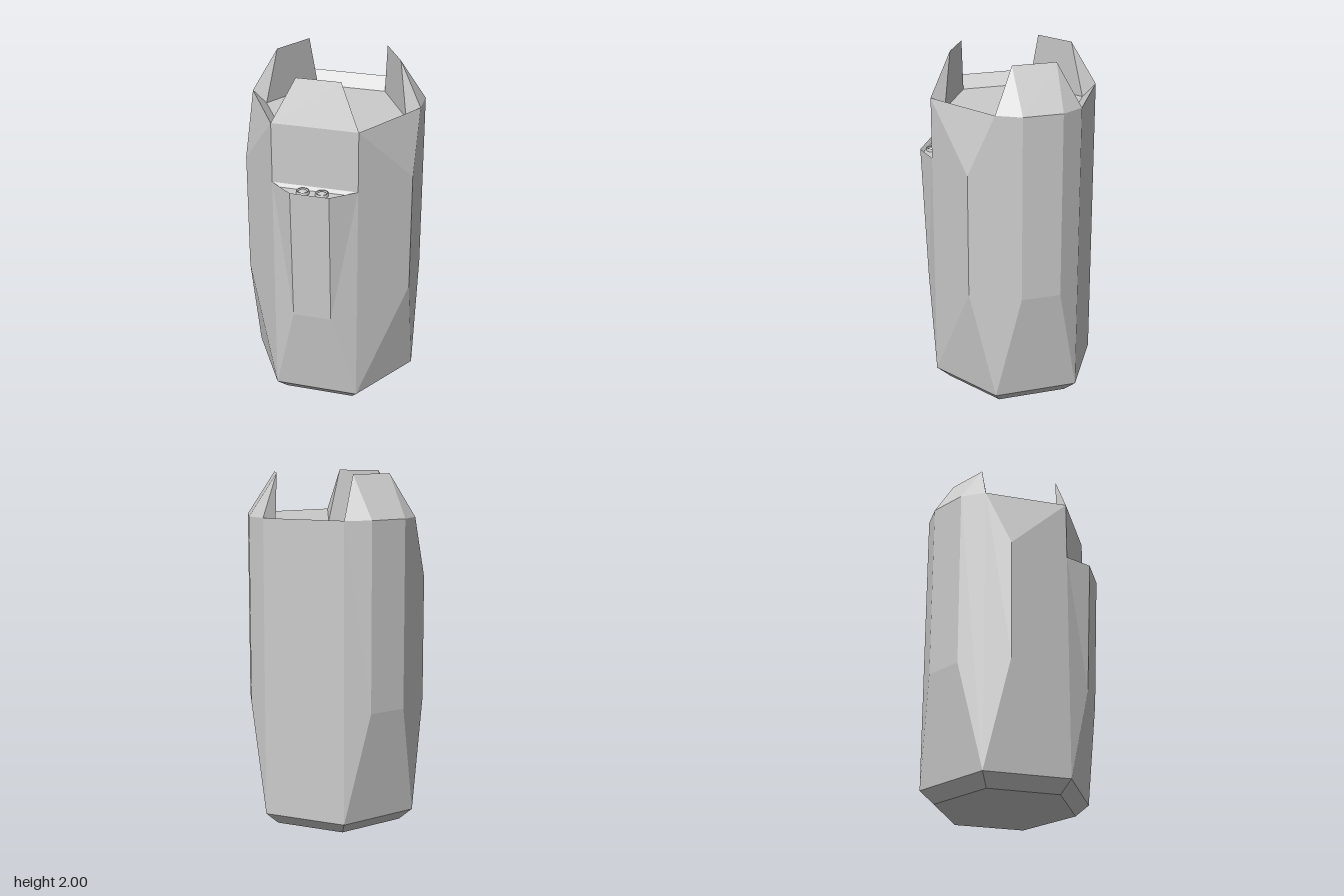
import * as THREE from 'three';

const S = 0.2435, D = 0.4217;        // hexagon: half side and distance of side from axis
const SI = 0.2035, DI = 0.3524;      // smaller hexagon of foot and recessed floor
const ZC = -0.054;                   // axis position
const FOOT = 0.07, FLOOR = 1.69, RIM = 1.76, TOP = 2;
const LOW = 0.7, LEDGE = 1.41;

const material = () => new THREE.MeshStandardMaterial({ color: 0xcccccc, flatShading: true, side: THREE.DoubleSide });

// Flat-faced mesh from polygons of [along side, height, distance from axis], turned to one side
function facets(name, polygons, degrees = 0) {
  const pos = [];
  for (const p of polygons)
    for (let i = 1; i < p.length - 1; i++) pos.push(...p[0], ...p[i], ...p[i + 1]);
  const g = new THREE.BufferGeometry();
  g.setAttribute('position', new THREE.Float32BufferAttribute(pos, 3));
  g.rotateY(THREE.MathUtils.degToRad(degrees));
  g.translate(0, 0, ZC);
  g.computeVertexNormals();
  const mesh = new THREE.Mesh(g, material());
  mesh.name = name;
  return mesh;
}

// Polygons plus their mirror images across the middle of the side
const mirrored = (polys) => [...polys, ...polys.map((p) => p.map(([t, y, d]) => [-t, y, d]).reverse())];

// Corner points shared by every side
const F = (y) => [S, y, D], G = (y) => [-S, y, D];
const inner = [SI, FLOOR, DI], innerL = [-SI, FLOOR, DI];
const tip = [0.125, TOP, 0.339], tipL = [-0.125, TOP, 0.339];

function frontSide() {
  const a = [0.11, 0.62, 0.499], b = [0.11, LEDGE, 0.53];
  const aL = [-0.11, 0.62, 0.499], bL = [-0.11, LEDGE, 0.53];
  // recessed ledge inside a thin lip
  const c = [0.205, 1.39, 0.434], e = [0.105, 1.39, 0.514];
  const cL = [-0.205, 1.39, 0.434], eL = [-0.105, 1.39, 0.514];
  return [
    facets('frontPanel', [
      [G(FOOT), F(FOOT), a, aL], [aL, a, b, bL],
      ...mirrored([[F(FOOT), F(LEDGE), a], [a, F(LEDGE), b]]),
      [G(LEDGE), F(LEDGE), F(RIM), G(RIM)],
    ]),
    facets('buttonLedge', [
      [cL, eL, e, c], [bL, b, e, eL], [F(LEDGE), G(LEDGE), cL, c],
      ...mirrored([[b, F(LEDGE), c, e]]),
    ]),
    facets('frontTab', [[G(RIM), F(RIM), tip, tipL]]),
  ];
}

// Rear side with a wide bulge running up into its tab
function bulgedSide(degrees) {
  const p = (y) => [0.1135, y, 0.495], q = (y) => [-0.1135, y, 0.495];
  return [
    facets('rearSidePanel', [
      [G(FOOT), F(FOOT), p(LOW), q(LOW)], [q(LOW), p(LOW), p(RIM), q(RIM)],
      ...mirrored([[F(FOOT), F(RIM), p(RIM), p(LOW)]]),
    ], degrees),
    facets('sideTab', [
      [q(RIM), p(RIM), tip, tipL], ...mirrored([[p(RIM), F(RIM), tip]]),
    ], degrees),
  ];
}

// Front side with a single vertical ridge nearer its rear corner
function ridgedSide(sign) {
  const p = (y) => [0.11, y, 0.499];
  let polys = [
    [G(FOOT), F(FOOT), p(LOW)], [F(FOOT), F(RIM), p(LEDGE), p(LOW)],
    [F(RIM), G(RIM), p(LEDGE)], [G(RIM), G(FOOT), p(LOW), p(LEDGE)],
  ];
  if (sign < 0) polys = mirrored(polys).slice(polys.length);
  return [facets('frontSidePanel', polys, 60 * sign)];
}

function button(x) {
  const group = new THREE.Group();
  group.name = 'button';
  const collar = new THREE.Mesh(new THREE.LatheGeometry(
    [[0.036, 0], [0.036, 0.016], [0.029, 0.016], [0.027, 0.006]].map(([r, y]) => new THREE.Vector2(r, y)), 24), material());
  collar.name = 'buttonCollar';
  const dome = new THREE.Mesh(
    new THREE.SphereGeometry(0.028, 20, 6, 0, Math.PI * 2, 0, Math.PI / 2).scale(1, 0.5, 1), material());
  dome.name = 'buttonDome';
  dome.material.flatShading = collar.material.flatShading = false;
  dome.position.y = 0.005;
  group.add(collar, dome);
  group.position.set(x, 1.39, 0.418);
  return group;
}

function hexagon(name, y, up) {
  const mesh = new THREE.Mesh(new THREE.CircleGeometry(SI * 2, 6).rotateX(up ? -Math.PI / 2 : Math.PI / 2), material());
  mesh.name = name;
  mesh.position.set(0, y, ZC);
  return mesh;
}

export function createModel() {
  const model = new THREE.Group();
  model.name = 'canister';
  model.add(...frontSide(), ...bulgedSide(120), ...bulgedSide(-120), ...ridgedSide(1), ...ridgedSide(-1));
  model.add(facets('backPanel', [[G(FOOT), F(FOOT), F(RIM), G(RIM)]], 180));

  // bevelled foot and recessed rim
  for (let i = 0; i < 6; i++) {
    const degrees = i * 60;
    model.add(facets('footBevel', [[[-SI, 0, DI], [SI, 0, DI], F(FOOT), G(FOOT)]], degrees));
    if (i % 2) model.add(facets('rimBevel', [[F(RIM), G(RIM), innerL, inner]], degrees));
    else model.add(facets('tabInside', [[inner, innerL, tipL, tip], ...mirrored([[F(RIM), inner, tip]])], degrees));
  }
  model.add(hexagon('base', 0, false), hexagon('topFloor', FLOOR, true));
  model.add(button(-0.054), button(0.054));
  return model;
}
